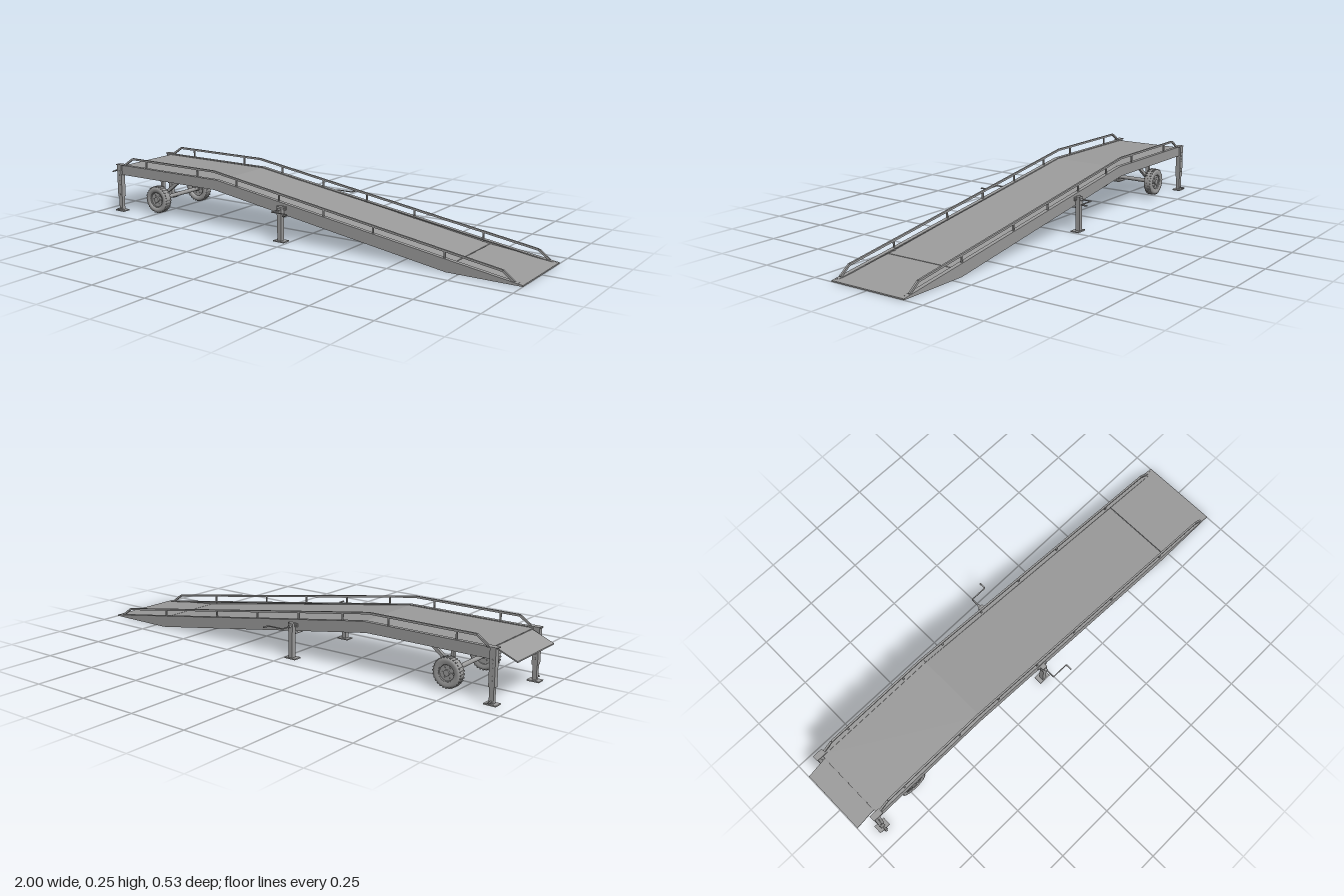
import * as THREE from 'three';

const mat = new THREE.MeshStandardMaterial({ color: 0x9c9c9c, side: THREE.DoubleSide });

function add(parent, name, geo, x = 0, y = 0, z = 0) {
  const m = new THREE.Mesh(geo, mat);
  m.name = name;
  m.position.set(x, y, z);
  parent.add(m);
  return m;
}
const box = (p, name, w, h, d, x, y, z) => add(p, name, new THREE.BoxGeometry(w, h, d), x, y, z);
// Cylinder lying across the ramp
function pin(p, name, r, len, x, y, z, sides = 16) {
  return add(p, name, new THREE.CylinderGeometry(r, r, len, sides).rotateX(Math.PI / 2), x, y, z);
}
// Side profile in x/y, extruded across z
function plate(p, name, pts, z0, z1) {
  const s = new THREE.Shape(pts.map(q => new THREE.Vector2(...q)));
  const g = new THREE.ExtrudeGeometry(s, { depth: z1 - z0, bevelEnabled: false });
  return add(p, name, g, 0, 0, z0);
}
// Straight bar between two points
function bar(p, name, a, b, w, d = w) {
  const A = new THREE.Vector3(...a), B = new THREE.Vector3(...b);
  const m = box(p, name, w, d, A.distanceTo(B), 0, 0, 0);
  m.position.copy(A).add(B).multiplyScalar(0.5);
  m.lookAt(B);
  return m;
}
// Bars along a list of x/y points at one z
function barPath(p, name, pts, z, w, d) {
  for (let i = 0; i < pts.length - 1; i++) bar(p, name, [...pts[i], z], [...pts[i + 1], z], w, d);
}
const deckY = x => x < -0.37 ? 0.205 : 0.205 - (x + 0.37) * 0.157;

function wheel(g, s) {
  const w = new THREE.Group();
  w.name = 'wheel';
  w.position.set(-0.727, 0.072, s * 0.135);
  // Tyre with rounded shoulders
  const prof = [[0.034, -0.016], [0.046, -0.019], [0.055, -0.017], [0.058, -0.01], [0.058, 0.01],
    [0.055, 0.017], [0.046, 0.019], [0.034, 0.016], [0.034, -0.016]];
  add(w, 'tyre', new THREE.LatheGeometry(prof.map(q => new THREE.Vector2(...q)), 36).rotateX(Math.PI / 2));
  pin(w, 'rim', 0.035, 0.02, 0, 0, 0, 28);
  add(w, 'rimEdge', new THREE.TorusGeometry(0.033, 0.003, 8, 28), 0, 0, s * 0.013);
  pin(w, 'hub', 0.012, 0.034, 0, 0, 0);
  for (let i = 0; i < 6; i++) {
    const a = i * Math.PI / 3;
    pin(w, 'wheelNut', 0.003, 0.026, 0.021 * Math.cos(a), 0.021 * Math.sin(a), 0, 6);
  }
  // Tread lugs
  for (let i = 0; i < 28; i++) {
    const a = i * Math.PI / 14;
    const l = box(w, 'treadLug', 0.005, 0.005, 0.03, 0.057 * Math.cos(a), 0.057 * Math.sin(a), 0);
    l.rotation.z = a;
  }
  g.add(w);
  // Suspension strut and trailing arm
  bar(g, 'wheelStrut', [-0.727, 0.072, s * 0.105], [-0.727, 0.2, s * 0.105], 0.014);
  bar(g, 'wheelArm', [-0.727, 0.085, s * 0.105], [-0.61, 0.175, s * 0.105], 0.013);
}

function side(g, s) {
  const z = (a, b) => s > 0 ? [a, b] : [-b, -a];
  // Side beam: web with top and bottom flanges
  plate(g, 'sideBeam', [[-0.91, 0.165], [-0.385, 0.165], [0.7, 0], [1, 0], [1, 0.005],
    [0.72, 0.046], [-0.37, 0.208], [-0.91, 0.208]], ...z(0.16, 0.168));
  barPath(g, 'topFlange', [[-0.91, 0.206], [-0.37, 0.206], [0.72, 0.044], [0.98, 0.006]], s * 0.159, 0.018, 0.004);
  barPath(g, 'bottomFlange', [[-0.91, 0.167], [-0.385, 0.167], [0.7, 0.002]], s * 0.157, 0.018, 0.004);

  // Guard rail and posts
  barPath(g, 'guardRail', [[-0.9, 0.207], [-0.85, 0.241], [-0.39, 0.241], [0.92, 0.043], [0.965, 0.01]],
    s * 0.16, 0.008, 0.008);
  for (const x of [-0.77, -0.48, -0.27, -0.055, 0.16, 0.385, 0.69]) {
    const top = x < -0.39 ? 0.24 : 0.241 - (x + 0.39) * 0.151;
    bar(g, 'railPost', [x, top - 0.04, s * 0.16], [x, top, s * 0.16], 0.006);
  }

  // Telescopic front leg
  box(g, 'frontLegSleeve', 0.024, 0.145, 0.022, -0.922, 0.1375, s * 0.164);
  box(g, 'frontLegInner', 0.018, 0.13, 0.016, -0.922, 0.068, s * 0.164);
  box(g, 'frontFoot', 0.05, 0.005, 0.036, -0.922, 0.0025, s * 0.164);
  box(g, 'frontLegCap', 0.044, 0.004, 0.025, -0.917, 0.209, s * 0.1625);
  for (let i = 0; i < 8; i++) pin(g, 'legHole', 0.0035, 0.024, -0.922, 0.075 + i * 0.015, s * 0.164, 10);
  // Locking pin with its pull ring
  pin(g, 'lockPin', 0.0035, 0.03, -0.922, 0.012, s * 0.175, 10);
  add(g, 'pinRing', new THREE.TorusGeometry(0.006, 0.0015, 6, 14).rotateX(Math.PI / 2), -0.922, 0.012, s * 0.189);

  // Middle jack leg
  box(g, 'middleLeg', 0.018, 0.144, 0.02, -0.035, 0.073, s * 0.178);
  box(g, 'middleLegSleeve', 0.022, 0.035, 0.022, -0.035, 0.1285, s * 0.177);
  box(g, 'middleFoot', 0.052, 0.005, 0.036, -0.035, 0.0025, s * 0.175);
  box(g, 'jackBracket', 0.044, 0.014, 0.008, -0.035, 0.138, s * 0.17);
  pin(g, 'crankSocket', 0.0055, 0.014, -0.035, 0.134, s * 0.192, 12);
  for (const dx of [-0.016, 0.016]) pin(g, 'jackBolt', 0.003, 0.005, -0.035 + dx, 0.138, s * 0.175, 6);
  // Crank handle
  const path = [[-0.035, 0.19], [-0.035, 0.236], [0.038, 0.236], [0.038, 0.264]];
  for (let i = 0; i < 3; i++)
    bar(g, 'crank', [path[i][0], 0.134, s * path[i][1]], [path[i + 1][0], 0.134, s * path[i + 1][1]], 0.004);
  pin(g, 'crankGrip', 0.0033, 0.026, 0.038, 0.134, s * 0.251, 12);
  wheel(g, s);
}

export function createModel() {
  const g = new THREE.Group();
  g.name = 'loadingRamp';

  // Bent deck sheet and end flap
  plate(g, 'deck', [[-0.91, 0.199], [-0.37, 0.199], [0.718, 0.028], [0.718, 0.034], [-0.37, 0.205],
    [-0.91, 0.205]], -0.161, 0.161);
  plate(g, 'endFlap', [[0.721, 0.028], [0.97, 0.001], [1, 0], [1, 0.005], [0.721, 0.0335]], -0.161, 0.161);

  // Hinged lip at the high end
  plate(g, 'dockLip', [[-1, 0.161], [-0.912, 0.198], [-0.912, 0.203], [-1, 0.166]], -0.14, 0.14);
  pin(g, 'lipHinge', 0.004, 0.28, -0.912, 0.198, 0, 12);

  // Cross members under the deck
  for (const [x, h] of [[-0.902, 0.034], [-0.727, 0.03], [-0.61, 0.03], [0.7, 0.018]])
    box(g, 'crossMember', 0.012, h, 0.32, x, deckY(x) - 0.004 - h / 2, 0);
  pin(g, 'axle', 0.009, 0.27, -0.727, 0.072, 0);
  pin(g, 'jackShaft', 0.004, 0.35, -0.035, 0.1, 0, 10);

  for (const s of [1, -1]) side(g, s);
  return g;
}
